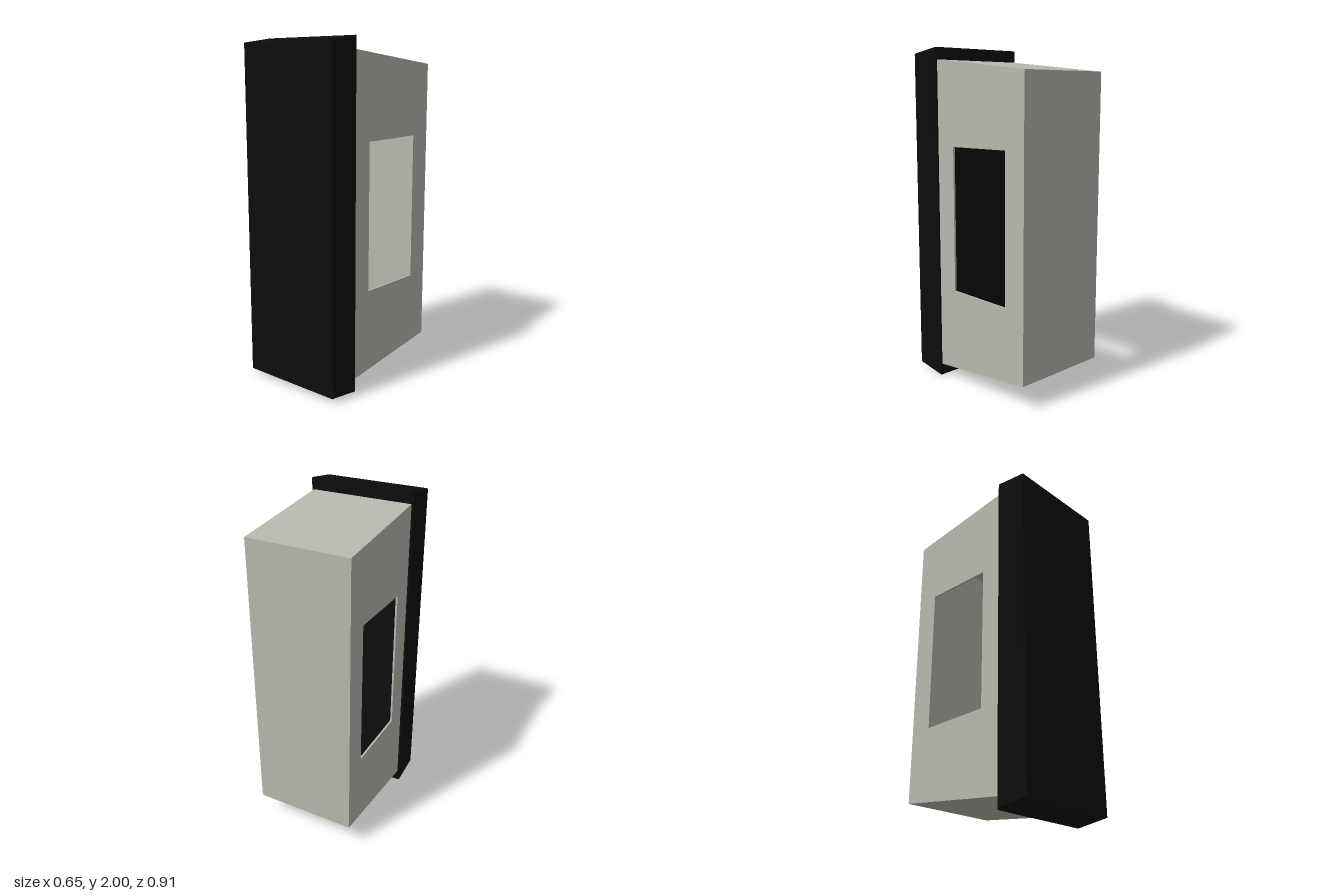
import * as THREE from 'three';

const WALL = 0.012;   // cabinet wall thickness
const HALF = 0.31;    // cabinet half width

function polygon(points, Type = THREE.Shape) {
  return new Type(points.map(([z, y]) => new THREE.Vector2(z, y)));
}

// Extrudes a (z, y) side profile along x, centred on the given x.
function sideExtrude(name, shape, width, x, material, bevel = 0) {
  const geometry = new THREE.ExtrudeGeometry(shape, {
    depth: width - 2 * bevel,
    bevelEnabled: bevel > 0,
    bevelThickness: bevel,
    bevelSize: bevel,
    bevelOffset: -bevel,
    bevelSegments: 1,
  });
  geometry.translate(0, 0, -(width - 2 * bevel) / 2);
  geometry.rotateY(-Math.PI / 2);
  geometry.translate(x, 0, 0);
  const mesh = new THREE.Mesh(geometry, material);
  mesh.name = name;
  return mesh;
}

export function createModel() {
  const model = new THREE.Group();
  model.name = 'cabinet';

  const grey = new THREE.MeshStandardMaterial({ color: 0xb9b8ae });
  grey.name = 'warm grey';
  const black = new THREE.MeshStandardMaterial({ color: 0x0d0d0d });
  black.name = 'black';

  // Front panel, with sloped top and bottom edges
  const panel = polygon([[0.255, 0], [0.455, 0.03], [0.455, 1.97], [0.255, 2]]);
  model.add(sideExtrude('frontPanel', panel, 0.65, 0, black, 0.006));

  // Top, back and bottom walls as one folded sheet, open toward the panel
  const sheet = polygon([
    [0.258, 0.07], [0.258, 0.07 + WALL], [-0.455 + WALL, 0.145 + WALL],
    [-0.455 + WALL, 1.858 - WALL], [0.258, 1.93 - WALL], [0.258, 1.93],
    [-0.455, 1.858], [-0.455, 0.145],
  ]);
  model.add(sideExtrude('topBackBottomWalls', sheet, 2 * (HALF - WALL), 0, grey));

  // Side walls, each with a rectangular opening
  for (const [name, side] of [['leftWall', 1], ['rightWall', -1]]) {
    const wall = polygon([[0.258, 0.07], [0.258, 1.93], [-0.455, 1.858], [-0.455, 0.145]]);
    wall.holes.push(polygon(
      [[0.12, 0.57], [0.12, 1.432], [-0.313, 1.437], [-0.313, 0.563]], THREE.Path));
    model.add(sideExtrude(name, wall, WALL, side * (HALF - WALL / 2), grey));
  }

  return model;
}
